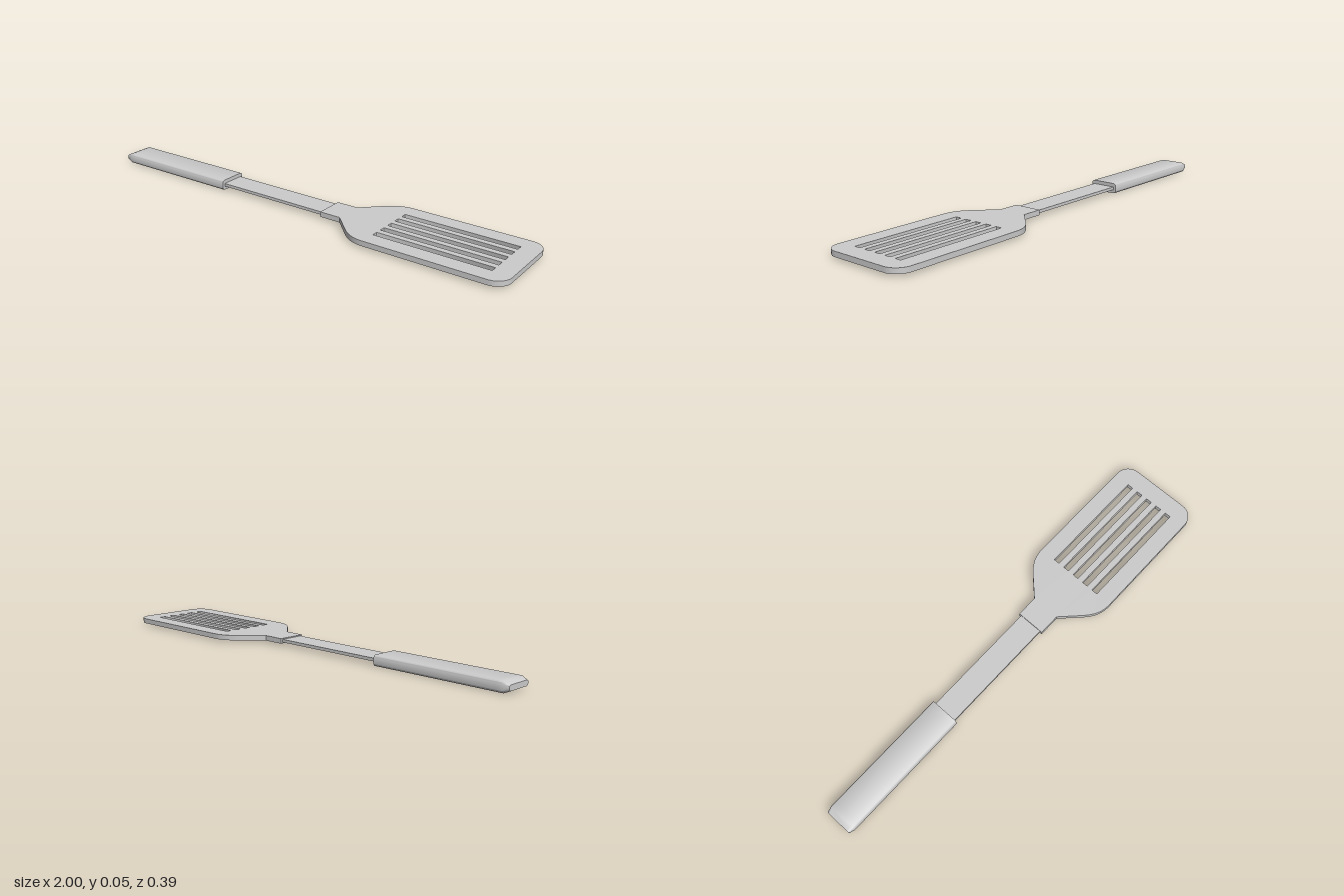
import * as THREE from 'three';
import { toCreasedNormals } from 'three/addons/utils/BufferGeometryUtils.js';

const material = new THREE.MeshStandardMaterial({ color: 0xcccccc });
const MID_Y = 0.0225;

function addPart(group, name, geometry) {
  const mesh = new THREE.Mesh(toCreasedNormals(geometry, 0.6), material);
  mesh.name = name;
  group.add(mesh);
}

function roundedRect(x0, y0, x1, y1, r) {
  const s = new THREE.Shape();
  s.moveTo(x0 + r, y0);
  s.lineTo(x1 - r, y0);
  s.absarc(x1 - r, y0 + r, r, -Math.PI / 2, 0);
  s.lineTo(x1, y1 - r);
  s.absarc(x1 - r, y1 - r, r, 0, Math.PI / 2);
  s.lineTo(x0 + r, y1);
  s.absarc(x0 + r, y1 - r, r, Math.PI / 2, Math.PI);
  s.lineTo(x0, y0 + r);
  s.absarc(x0 + r, y0 + r, r, Math.PI, Math.PI * 1.5);
  return s;
}

// Flat blade with its collar, cut by parallel slots
function bladeGeometry() {
  const shape = new THREE.Shape();
  const w = 0.193, collar = 0.063, r = 0.065;
  shape.moveTo(0.13, -collar);
  shape.lineTo(0.225, -collar);
  shape.lineTo(0.305, -0.142);
  shape.bezierCurveTo(0.34, -0.175, 0.37, -w, 0.42, -w);
  shape.lineTo(1 - r, -w);
  shape.absarc(1 - r, -w + r, r, -Math.PI / 2, 0);
  shape.lineTo(1, w - r);
  shape.absarc(1 - r, w - r, r, 0, Math.PI / 2);
  shape.lineTo(0.42, w);
  shape.bezierCurveTo(0.37, w, 0.34, 0.175, 0.305, 0.142);
  shape.lineTo(0.225, collar);
  shape.lineTo(0.13, collar);
  shape.closePath();
  for (let i = -2; i <= 2; i++) {
    const z = i * 0.0535;
    shape.holes.push(roundedRect(0.42, z - 0.0135, 0.92, z + 0.0135, 0.002));
  }
  const geometry = new THREE.ExtrudeGeometry(shape, { depth: 0.022, bevelEnabled: false, curveSegments: 12 });
  return geometry.rotateX(Math.PI / 2).translate(0, MID_Y + 0.011, 0);
}

// Rounded bar whose far end narrows to a chamfer
function handleGeometry() {
  const length = 0.605, steps = 24;
  const section = roundedRect(-0.065, -0.0225, 0.065, 0.0225, 0.012);
  const geometry = new THREE.ExtrudeGeometry(section, { depth: length, steps, bevelEnabled: false, curveSegments: 6 });
  const p = geometry.attributes.position;
  for (let i = 0; i < p.count; i++) {
    if (p.getZ(i) > length - 0.001) p.setXY(i, p.getX(i) * 0.9, p.getY(i) * 0.5);
  }
  return geometry.rotateY(-Math.PI / 2).translate(-1 + length, MID_Y, 0);
}

export function createModel() {
  const group = new THREE.Group();
  group.name = 'spatula';
  addPart(group, 'handle', handleGeometry());
  // Flat strip joining the handle to the collar
  addPart(group, 'neck', new THREE.BoxGeometry(0.56, 0.013, 0.106).translate(-0.13, MID_Y, 0));
  addPart(group, 'blade', bladeGeometry());
  return group;
}
